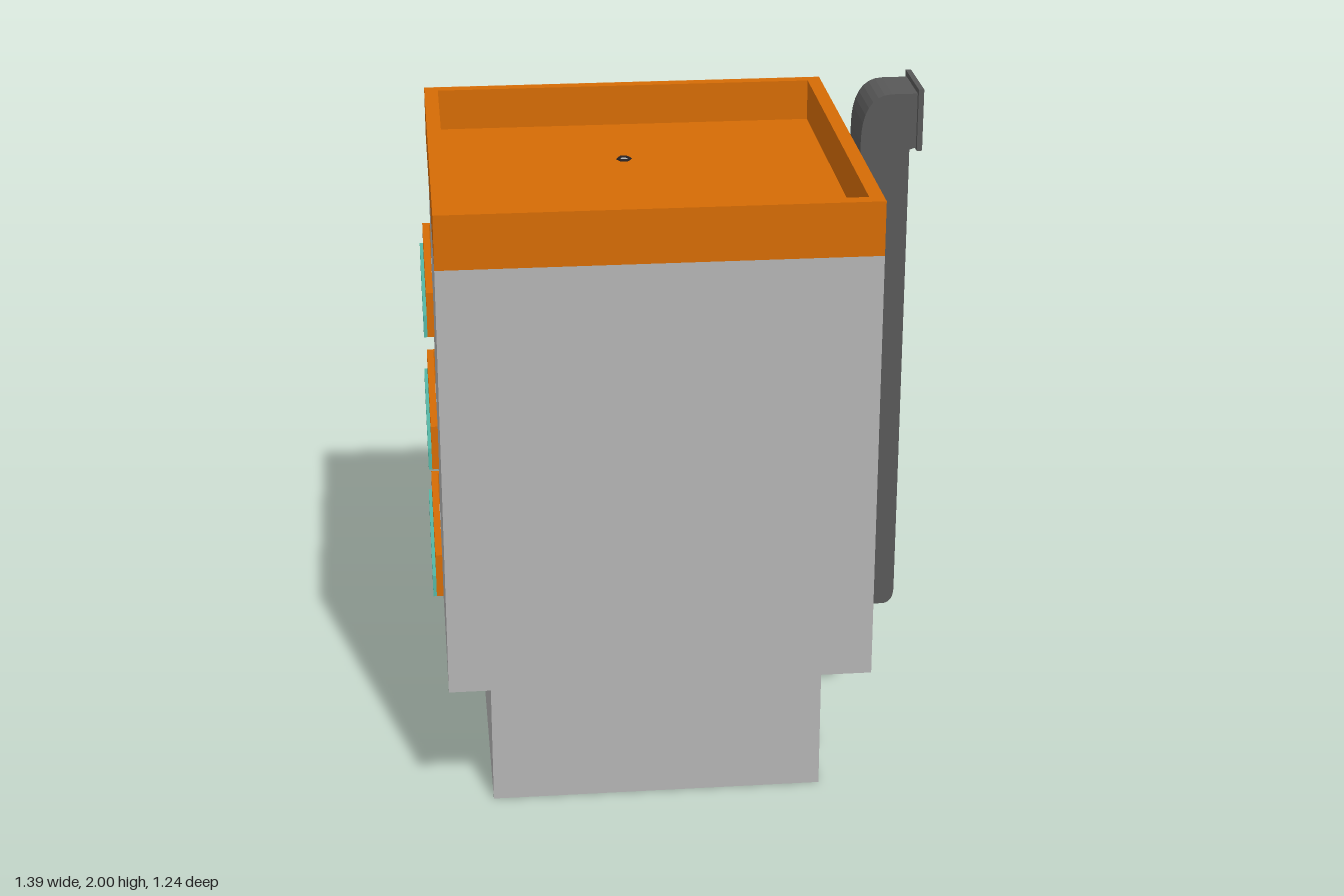
import * as THREE from 'three';

const mat = (name, color) => new THREE.MeshStandardMaterial({ name, color });

export function createModel() {
  const root = new THREE.Group();
  root.name = 'apartmentBlock';
  const gray = mat('concrete', 0xb3b3b3);
  const orange = mat('orangePaint', 0xd46b05);
  const lightOrange = mat('fadedOrange', 0xe08c3c);
  const teal = mat('teal', 0x54b6a5);
  const dark = mat('darkMetal', 0x585858);
  const black = mat('blackFrame', 0x2a2426);
  const yellow = mat('signYellow', 0xdcc364);
  const pale = mat('paleGlass', 0x8fb2aa);

  const add = (parent, name, geo, m) => {
    const mesh = new THREE.Mesh(geo, m);
    mesh.name = name;
    parent.add(mesh);
    return mesh;
  };
  // box given by its min and max on each axis
  const box = (name, m, x0, x1, y0, y1, z0, z1, parent = root) => {
    const mesh = add(parent, name, new THREE.BoxGeometry(x1 - x0, y1 - y0, z1 - z0), m);
    mesh.position.set((x0 + x1) / 2, (y0 + y1) / 2, (z0 + z1) / 2);
    return mesh;
  };
  // upright prism over a floor plan of [x, z] points, with an optional hole
  const toPlan = (plan) => plan.map(([x, z]) => new THREE.Vector2(x, -z));
  const prism = (name, m, plan, y0, y1, hole) => {
    const shape = new THREE.Shape(toPlan(plan));
    if (hole) shape.holes.push(new THREE.Path(toPlan(hole)));
    const geo = new THREE.ExtrudeGeometry(shape, { depth: y1 - y0, bevelEnabled: false });
    geo.rotateX(-Math.PI / 2).translate(0, y0, 0);
    return add(root, name, geo, m);
  };
  const place = (name, x, y, z, ry) => {
    const g = new THREE.Group();
    g.name = name;
    g.position.set(x, y, z);
    g.rotation.y = ry;
    root.add(g);
    return g;
  };

  // Hollow ground floor, open below, and the upper block with its balcony notch
  prism('groundFloor', gray,
    [[-0.545, 0.5], [0.402, 0.5], [0.402, -0.355], [0.312, -0.445], [-0.545, -0.445]], 0, 0.42,
    [[-0.543, 0.498], [0.4, 0.498], [0.4, -0.354], [0.311, -0.443], [-0.543, -0.443]]);
  prism('upperFloors', gray, [[-0.665, 0.62], [0.525, 0.62], [0.525, -0.565], [-0.07, -0.565],
    [-0.07, -0.13], [-0.665, -0.13]], 0.42, 1.668);

  // Roof slab and parapet, with a faded rear face and small pegs
  box('roofSlab', orange, -0.665, 0.525, 1.668, 1.7, -0.563, 0.62);
  box('parapetFront', orange, -0.665, 0.525, 1.7, 1.82, 0.58, 0.62);
  box('parapetBack', orange, -0.665, 0.525, 1.7, 1.82, -0.563, -0.527);
  box('parapetLeft', orange, 0.485, 0.525, 1.7, 1.82, -0.527, 0.58);
  box('parapetRight', orange, -0.665, -0.625, 1.7, 1.82, -0.527, 0.58);
  box('parapetRearFace', lightOrange, -0.665, 0.525, 1.668, 1.82, -0.565, -0.563);
  for (const x of [0.36, 0.12, -0.14, -0.38]) box('parapetPeg', orange, x - 0.012, x + 0.012, 1.71, 1.734, -0.568, -0.565);
  const vent = add(root, 'roofVent', new THREE.TorusGeometry(0.018, 0.005, 4, 6), black);
  vent.rotation.x = Math.PI / 2;
  vent.position.set(-0.1, 1.702, -0.18);
  const cap = add(root, 'roofVentCap', new THREE.CylinderGeometry(0.015, 0.015, 0.002, 6), gray);
  cap.position.set(-0.1, 1.701, -0.18);

  // Six-pane window, built facing +z
  const windowUnit = (g, w, h) => {
    const t = 0.008;
    box('glass', teal, -w / 2, w / 2, -h / 2, h / 2, 0, 0.006, g);
    for (const s of [-1, 1]) {
      const x = s * (w / 2 - t), y = s * (h / 2 - t);
      box('frameSide', black, x - t, x + t, -h / 2, h / 2, 0, 0.018, g);
      box('frameRail', black, -w / 2, w / 2, y - t, y + t, 0, 0.018, g);
      const mx = s * w / 6;
      for (const o of [-0.006, 0.006]) box('mullion', black, mx + o - 0.0035, mx + o + 0.0035, -h / 2, h / 2, 0, 0.012, g);
      for (const yy of [-h / 2 + 0.02, 0, h / 2 - 0.02])
        box('bracket', black, mx - 0.014, mx + 0.014, yy - 0.014, yy + 0.014, 0, 0.015, g);
    }
    box('crossBar', black, -w / 2, w / 2, -0.005, 0.005, 0, 0.011, g);
  };
  // Bay with three recessed windows, built facing +z with its back at z = 0
  const rect = (path, w, y0, y1) => path.moveTo(-w / 2, y0).lineTo(w / 2, y0).lineTo(w / 2, y1).lineTo(-w / 2, y1).closePath();
  const bay = (g, w, windowW, depth) => {
    const inset = depth - 0.016;
    box('bayCore', gray, -w / 2, w / 2, 0.42, 1.66, 0, inset, g);
    box('baySoffit', teal, -w / 2, w / 2, 0.417, 0.42, 0, depth, g);
    const shape = new THREE.Shape();
    rect(shape, w, 0.42, 1.66);
    for (const y of [0.627, 1.045, 1.458]) {
      const hole = new THREE.Path();
      rect(hole, windowW, y - 0.178, y + 0.178);
      shape.holes.push(hole);
      const unit = new THREE.Group();
      unit.name = 'window';
      unit.position.set(0, y, inset);
      g.add(unit);
      windowUnit(unit, windowW, 0.356);
    }
    const geo = new THREE.ExtrudeGeometry(shape, { depth: 0.016, bevelEnabled: false });
    add(g, 'bayFacing', geo, gray).position.z = inset;
  };
  bay(place('sideBay', 0.525, 0, -0.261, Math.PI / 2), 0.572, 0.54, 0.035);
  bay(place('backBay', 0.216, 0, -0.565, Math.PI), 0.572, 0.545, 0.038);

  // Rounded orange corner between the bays
  const arc = [];
  for (let i = 0; i <= 6; i++) {
    const a = (i / 6) * Math.PI / 2;
    arc.push([0.502 + 0.06 * Math.sin(a), -0.547 - 0.058 * Math.cos(a)]);
  }
  prism('cornerColumn', orange, [[0.502, -0.547], ...arc], 0.42, 1.668);

  // Glazed door, built facing +z with its foot at y = 0
  const door = (g, w, h) => {
    box('glass', pale, -w / 2, w / 2, 0, h, 0, 0.006, g);
    for (const s of [-1, 1]) {
      const x = s * (w / 2 - 0.01);
      box('doorPost', dark, x - 0.01, x + 0.01, 0, h, 0, 0.018, g);
      box('doorStile', black, x - s * 0.014 - 0.004, x - s * 0.014 + 0.004, 0.01, h - 0.01, 0, 0.014, g);
    }
    box('doorHead', dark, -w / 2, w / 2, h - 0.02, h, 0, 0.018, g);
    box('doorSill', dark, -w / 2, w / 2, 0, 0.025, 0, 0.033, g);
    box('doorBar', black, 0.03, 0.035, 0.025, h - 0.02, 0, 0.011, g);
    box('doorHandle', black, 0.02, 0.08, h * 0.44, h * 0.44 + 0.012, 0.006, 0.025, g);
  };

  // One storey: balcony and recess fittings
  for (const y of [0.42, 0.835, 1.25]) {
    box('balconySlab', orange, -0.665, -0.07, y, y + 0.02, -0.57, -0.13);
    box('balconyFloor', gray, -0.665, -0.07, y + 0.02, y + 0.028, -0.57, -0.13);
    box('balconyRailSide', orange, -0.685, -0.665, y, y + 0.135, -0.59, 0.022);
    box('balconyRailBack', orange, -0.665, -0.07, y, y + 0.135, -0.59, -0.57);
    box('tealBandSide', teal, -0.695, -0.685, y, y + 0.067, -0.6, 0.022);
    box('tealBandBack', teal, -0.685, -0.24, y, y + 0.067, -0.6, -0.59);
    door(place('balconyDoor', -0.505, y + 0.03, -0.13, Math.PI), 0.265, 0.34);
    box('wallLamp', yellow, -0.36, -0.315, y + 0.1, y + 0.19, -0.155, -0.13);
    box('wallLampTop', black, -0.355, -0.32, y + 0.19, y + 0.2, -0.15, -0.13);
    box('recessPipe', dark, -0.095, -0.07, y + 0.07, y + 0.37, -0.155, -0.13);
  }

  // Cables sagging around the bays
  const cable = (pts) => add(root, 'cable', new THREE.TubeGeometry(
    new THREE.CatmullRomCurve3(pts.map((p) => new THREE.Vector3(...p))), 40, 0.0045, 5), black);
  for (const y of [0.843, 1.235, 1.652]) {
    cable([[0.562, y + 0.003, 0.025], [0.565, y, -0.15], [0.564, y + 0.002, -0.35], [0.566, y - 0.006, -0.53],
      [0.552, y - 0.01, -0.593], [0.5, y - 0.006, -0.61], [0.3, y + 0.004, -0.609],
      [0.1, y - 0.008, -0.612], [-0.06, y, -0.61], [-0.09, y - 0.02, -0.6]]);
  }
  cable([[0.535, 1.65, -0.605], [0.527, 1.4, -0.607], [0.538, 1.23, -0.612], [0.527, 1.0, -0.606],
    [0.538, 0.83, -0.612], [0.527, 0.6, -0.606], [0.53, 0.41, -0.605]]);
  cable([[0.53, 0.43, -0.605], [0.35, 0.425, -0.608], [0.1, 0.43, -0.608], [-0.06, 0.425, -0.608]]);

  // Ventilation duct with elbow and outlet flange
  const duct = new THREE.Shape();
  duct.moveTo(0.525, 0.42);
  duct.lineTo(0.632, 0.42);
  duct.quadraticCurveTo(0.662, 0.425, 0.662, 0.47);
  duct.lineTo(0.662, 1.825);
  duct.lineTo(0.68, 1.83);
  duct.lineTo(0.68, 1.985);
  duct.lineTo(0.61, 1.985);
  duct.bezierCurveTo(0.55, 1.985, 0.525, 1.93, 0.525, 1.85);
  const ductGeo = new THREE.ExtrudeGeometry(duct, { depth: 0.17, bevelEnabled: false, curveSegments: 8 });
  add(root, 'duct', ductGeo, dark).position.z = 0.028;
  box('ductFlange', dark, 0.68, 0.695, 1.825, 2.0, 0.01, 0.212);

  // Ground floor entrance: chamfer panel, kiosk, sign, door
  prism('chamferPanel', teal, [[0.402, -0.355], [0.403, -0.357], [0.325, -0.435], [0.323, -0.434]], 0.005, 0.415);
  prism('chamferTrim', black, [[0.323, -0.434], [0.325, -0.436], [0.312, -0.449], [0.302, -0.449], [0.302, -0.445], [0.312, -0.445]], 0.005, 0.415);
  box('kioskPanel', orange, -0.04, 0.225, 0, 0.31, -0.449, -0.445);
  for (const x of [-0.04, 0.195]) box('kioskPost', orange, x, x + 0.03, 0, 0.31, -0.458, -0.449);
  box('kioskBox', dark, 0, 0.165, 0.02, 0.185, -0.492, -0.449);
  box('kioskBoxLid', black, 0.03, 0.135, 0.1, 0.112, -0.496, -0.492);
  box('sign', yellow, -0.118, 0.28, 0.287, 0.4, -0.484, -0.445);
  for (let i = 0; i < 16; i++) for (let j = 0; j < 3; j++) {
    const x = -0.102 + i * 0.0232, y = 0.302 + j * 0.028 + (i % 2) * 0.008;
    box('signCheck', black, x, x + 0.015, y, y + 0.015, -0.487, -0.484);
  }
  door(place('entranceDoor', -0.247, 0.01, -0.445, Math.PI), 0.255, 0.375);

  // Brick quoins wrapped round the corner
  const quoin = (name, d, y0, y1) => prism(name, orange, [[-0.545 - d, -0.35], [-0.545, -0.35], [-0.545, -0.445],
    [-0.452, -0.445], [-0.452, -0.445 - d], [-0.545 - d, -0.445 - d]], y0, y1);
  quoin('quoinCore', 0.003, 0, 0.42);
  for (let i = 0; i < 5; i++) quoin('quoin', 0.011, i * 0.0835, i * 0.0835 + 0.042);
  return root;
}
